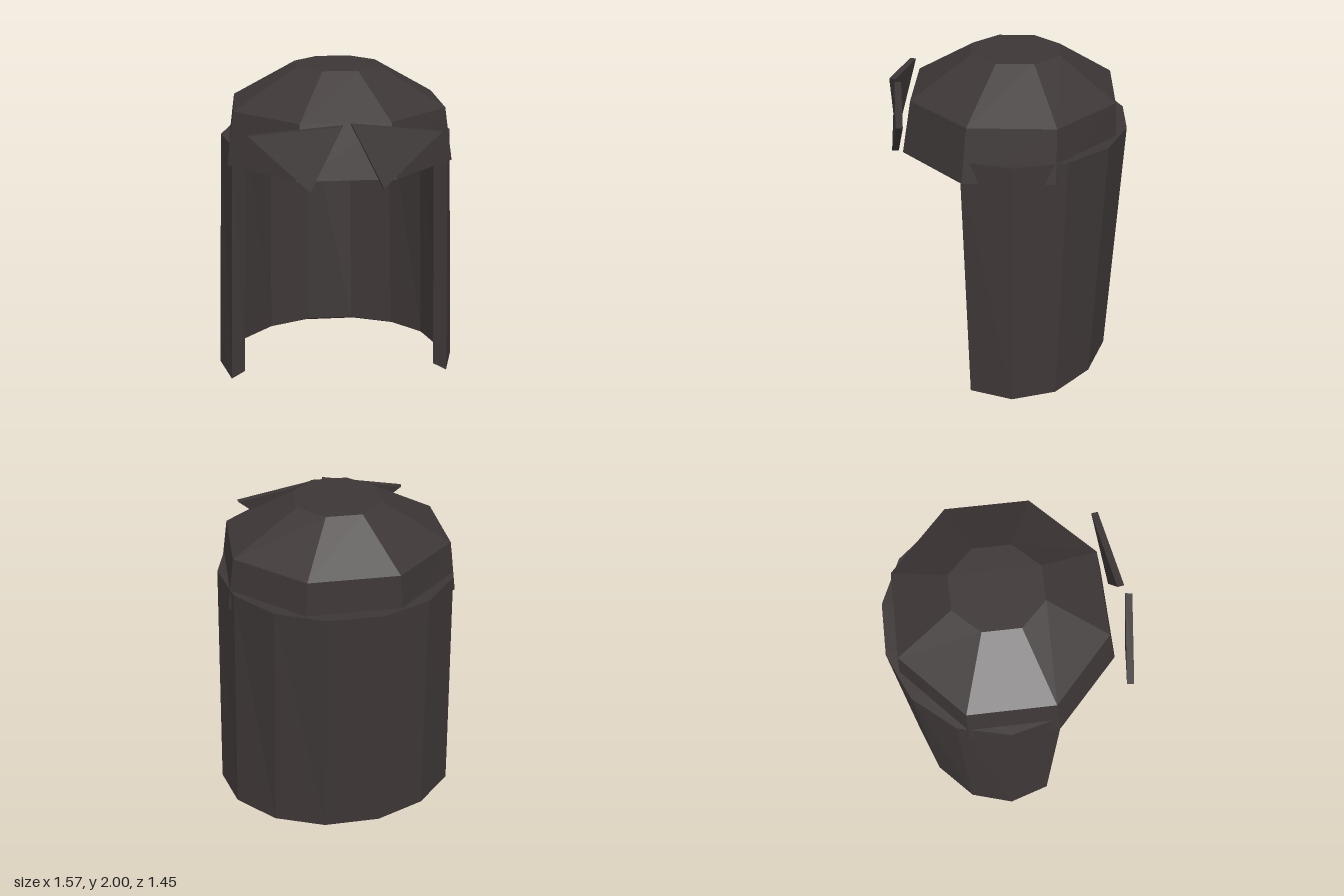
import * as THREE from 'three';

// Joins a row of convex cross-sections into a closed, flat-faced solid.
// Each loop runs counter-clockwise seen from the far end of the row.
function loft(sections) {
  const pos = [];
  const tri = (a, b, c) => pos.push(...a, ...b, ...c);
  const n = sections[0].length;
  for (let s = 0; s < sections.length - 1; s++) {
    const A = sections[s], B = sections[s + 1];
    for (let i = 0; i < n; i++) {
      const j = (i + 1) % n;
      tri(A[i], A[j], B[j]);
      tri(A[i], B[j], B[i]);
    }
  }
  const first = sections[0], last = sections[sections.length - 1];
  for (let i = 1; i < n - 1; i++) {
    tri(first[0], first[i + 1], first[i]);
    tri(last[0], last[i], last[i + 1]);
  }
  const g = new THREE.BufferGeometry();
  g.setAttribute('position', new THREE.Float32BufferAttribute(pos, 3));
  g.computeVertexNormals();
  return g;
}

// Eight-sided ring from its +x half, front to back
function ring(y, half) {
  const right = half.map(([x, z]) => [x, y, z]);
  const left = half.map(([x, z]) => [-x, y, z]).reverse();
  return [...right, ...left];
}

export function createModel() {
  const group = new THREE.Group();
  const hair = new THREE.MeshStandardMaterial({ color: 0x3d3636 });
  hair.name = 'dark brown hair';
  const add = (name, geometry) => {
    const mesh = new THREE.Mesh(geometry, hair);
    mesh.name = name;
    group.add(mesh);
  };

  // Crown: faceted dome over a short flared band
  add('crown', loft([
    ring(1.45, [[0.285, 0.605], [0.68, 0.23], [0.68, -0.3], [0.28, -0.665]]),
    ring(1.77, [[0.26, 0.55], [0.635, 0.2], [0.635, -0.3], [0.26, -0.645]]),
    ring(2.0, [[0.105, 0.2], [0.25, 0.05], [0.25, -0.17], [0.105, -0.32]]),
  ]));

  // Long hair: thick curved curtain, open at the front.
  // Rows hold inner bottom, inner top, outer top and outer bottom as x, z.
  const rows = [
    [[0.62, 0.18], [0.57, 0.21], [0.65, 0.24], [0.705, 0.2]],
    [[0.7, -0.06], [0.645, -0.06], [0.72, -0.06], [0.785, -0.06]],
    [[0.62, -0.3], [0.575, -0.33], [0.645, -0.365], [0.705, -0.33]],
    [[0.43, -0.48], [0.4, -0.54], [0.44, -0.605], [0.48, -0.545]],
    [[0.155, -0.59], [0.145, -0.65], [0.16, -0.728], [0.175, -0.66]],
  ];
  const heights = [0.04, 1.57, 1.57, 0];
  const section = (row, side) => row.map(([x, z], i) => [side * x, heights[i], z]);
  add('longHair', loft([
    ...rows.map((r) => section(r, 1)),
    ...rows.map((r) => section(r, -1)).reverse(),
  ]));

  // Fringe: two thin triangular locks in front of the crown
  const lock = (name, front, dx) => {
    const back = front.map(([x, y, z]) => [x + dx, y, z - 0.04]);
    add(name, loft([back, front]));
  };
  lock('rightFringe', [[-0.55, 1.73, 0.645], [-0.215, 1.42, 0.722], [-0.033, 1.79, 0.71]], 0.006);
  lock('leftFringe', [[0.022, 1.79, 0.672], [0.205, 1.42, 0.682], [0.54, 1.72, 0.602]], -0.006);

  return group;
}
